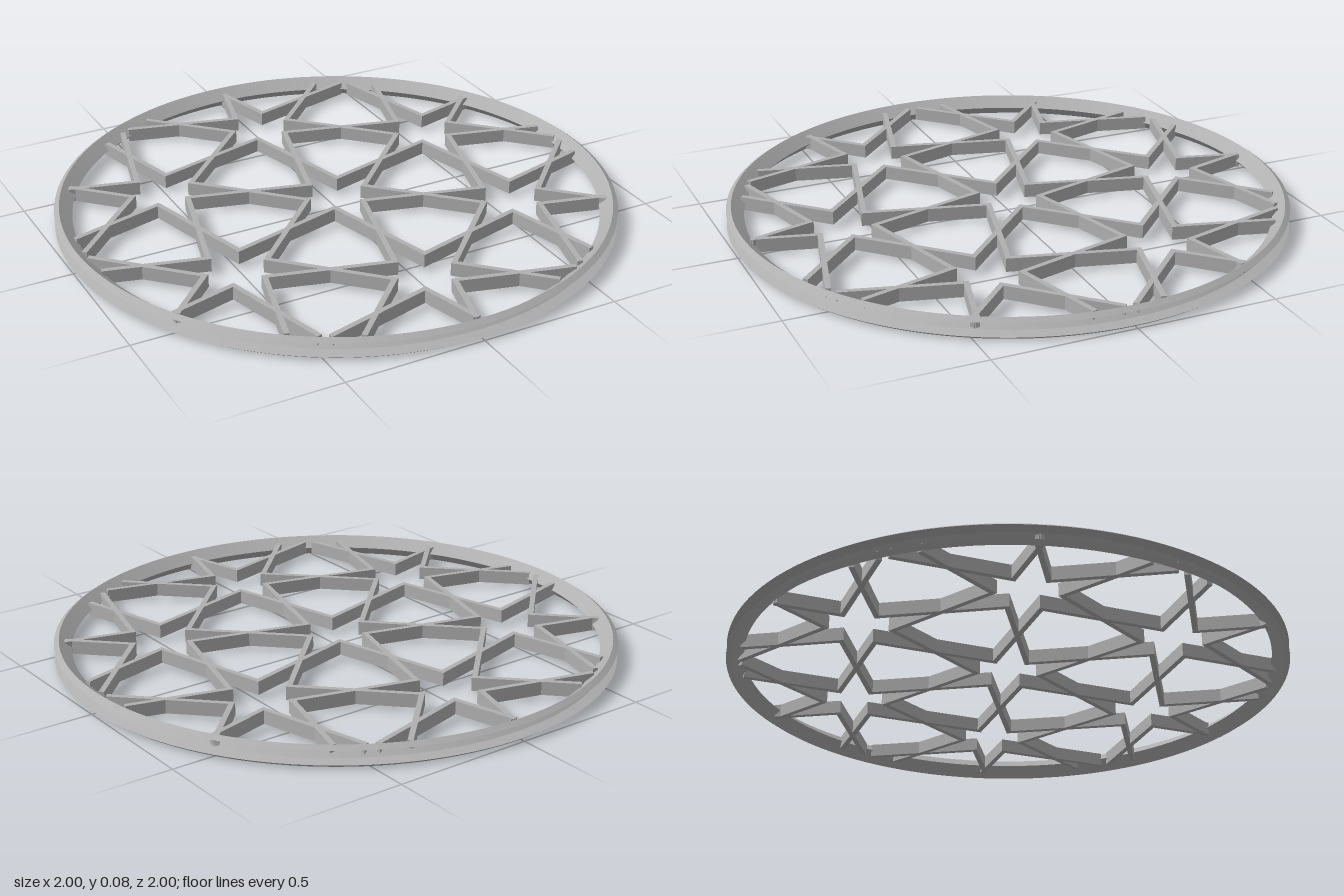
import * as THREE from 'three';
import { toCreasedNormals } from 'three/addons/utils/BufferGeometryUtils.js';

const SPACING = 0.625;                              // distance between star centres
const DENT = SPACING * (Math.sqrt(3) - 1) / 4;      // radius of each star's inner corners
const WIDTH = 0.019;                                // strap width
const BOTTOM = 0.014, HEIGHT = 0.048;               // strap base and depth

const polar = (r, deg) => {
  const a = THREE.MathUtils.degToRad(deg);
  return new THREE.Vector2(r * Math.cos(a), r * Math.sin(a));
};

// Point where the segment a-b leaves a circle of radius r
function clipToCircle(a, b, r) {
  const d = b.clone().sub(a);
  const A = d.dot(d), B = a.dot(d), C = a.dot(a) - r * r;
  return a.clone().addScaledVector(d, (-B + Math.sqrt(B * B - A * C)) / A);
}

// Straight bar with a mitred start, and a mitred or square end
function strapGeometry(a, b, mitre, limit) {
  const clipped = b.length() > limit;
  const end = clipped ? clipToCircle(a, b, limit) : b;
  const dir = b.clone().sub(a).normalize();
  const normal = new THREE.Vector2(-dir.y, dir.x);
  const m = mitre.clone().multiplyScalar(WIDTH / 2 / mitre.dot(normal));
  const e = clipped ? normal.multiplyScalar(WIDTH / 2) : m;
  const shape = new THREE.Shape([
    a.clone().sub(m), end.clone().sub(e), end.clone().add(e), a.clone().add(m)
  ]);
  const geo = new THREE.ExtrudeGeometry(shape, { depth: HEIGHT, bevelEnabled: false });
  return geo.rotateX(-Math.PI / 2).translate(0, BOTTOM, 0);
}

export function createModel() {
  const model = new THREE.Group();
  model.name = 'starLattice';
  const grey = new THREE.MeshStandardMaterial({ color: 0xb0b0b0 });
  grey.name = 'grey';

  // Rim: thin ring with a V groove around the outside
  const profile = [
    [0.982, 0], [1, 0.013], [0.966, 0.022], [0.948, 0.038], [0.966, 0.054],
    [1, 0.063], [0.982, 0.076], [0.938, 0.038], [0.982, 0]
  ].map(([r, y]) => new THREE.Vector2(r, y));
  const rim = new THREE.Mesh(toCreasedNormals(new THREE.LatheGeometry(profile, 128), 0.3), grey);
  rim.name = 'rim';
  model.add(rim);

  // Straps: every pair of neighbouring stars is joined by two crossing bars
  const lattice = new THREE.Group();
  lattice.name = 'straps';
  model.add(lattice);
  const centres = [new THREE.Vector2()];
  for (let k = 0; k < 6; k++) centres.push(polar(SPACING, 30 + 60 * k));

  centres.forEach((p, i) => {
    for (let k = 0; k < 6; k++) {
      const angle = 30 + 60 * k;
      const q = p.clone().add(polar(SPACING, angle));
      const j = centres.findIndex(c => c.distanceTo(q) < 0.01);
      if (j >= 0 && j < i) continue;
      // The four diagonal tips reach through the rim
      const limit = q.length() > 1.2 && Math.abs(q.x) > 0.1 ? 0.962 : 0.951;
      for (const side of [-30, 30]) {
        const a = p.clone().add(polar(DENT, angle + side));
        const b = q.clone().sub(polar(DENT, angle + side));
        const strap = new THREE.Mesh(strapGeometry(a, b, polar(1, angle + side), limit), grey);
        strap.name = 'strap';
        lattice.add(strap);
      }
    }
  });
  return model;
}
